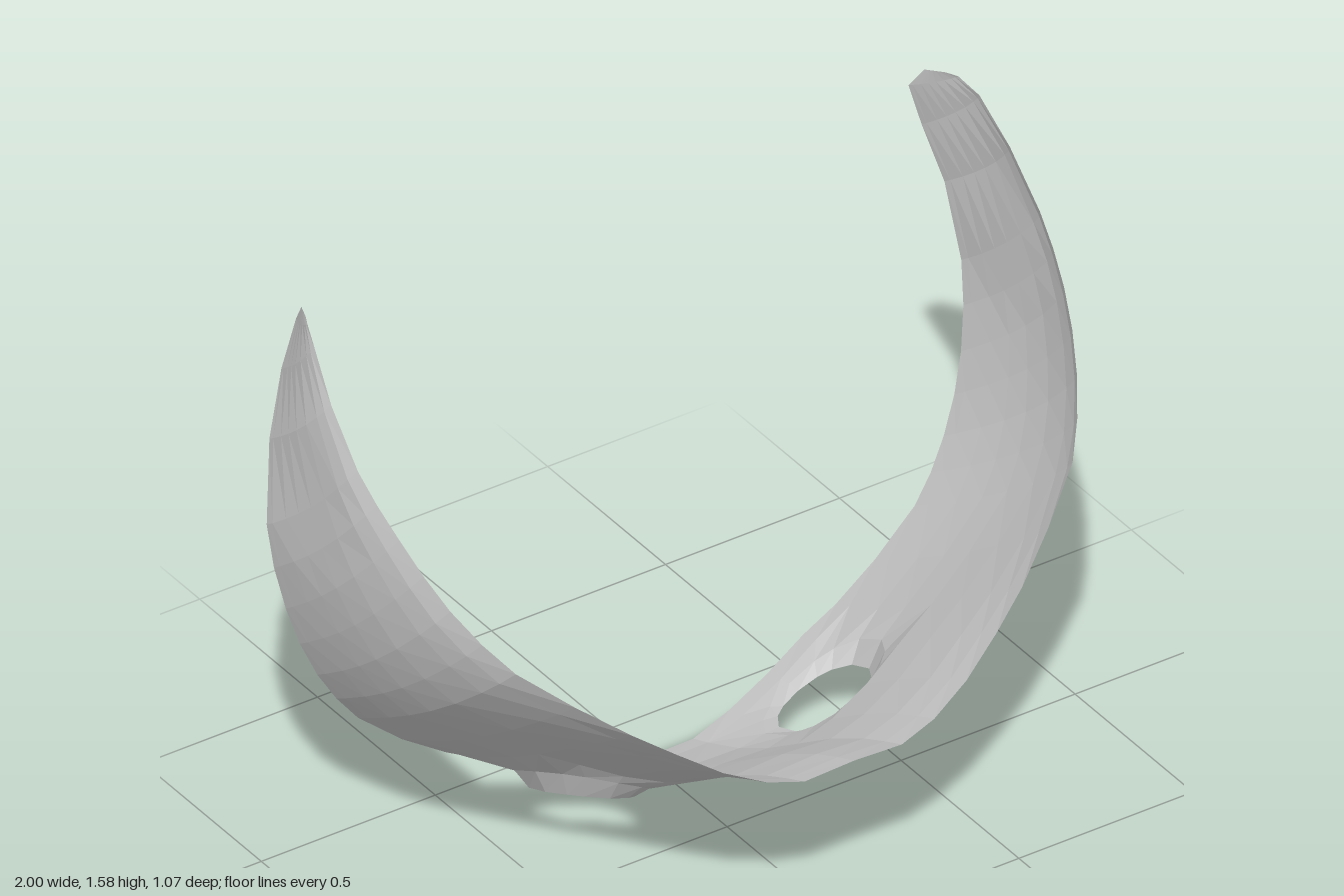
import * as THREE from 'three';

// Front and back edges from the nose to the temple tip, in matching stations
const curve = points => new THREE.CatmullRomCurve3(points.map(p => new THREE.Vector3(...p)));
const frontEdge = curve([
  [0, 0.495, 0.54], [0.14, 0.485, 0.535], [0.24, 0.515, 0.525], [0.35, 0.57, 0.5],
  [0.46, 0.645, 0.465], [0.56, 0.715, 0.425], [0.68, 0.805, 0.36], [0.8, 0.905, 0.285],
  [0.9, 1.05, 0.155], [0.955, 1.2, 0.02], [0.98, 1.33, -0.12], [0.975, 1.45, -0.24],
  [0.955, 1.55, -0.34], [0.935, 1.578, -0.4], [0.92, 1.578, -0.43],
]);
const backEdge = curve([
  [0, 0, -0.35], [0.14, 0.003, -0.35], [0.24, 0.05, -0.345], [0.35, 0.11, -0.348],
  [0.46, 0.172, -0.36], [0.56, 0.222, -0.365], [0.68, 0.3, -0.375], [0.8, 0.402, -0.385],
  [0.9, 0.55, -0.41], [0.97, 0.75, -0.44], [0.998, 0.98, -0.48], [0.97, 1.2, -0.51],
  [0.92, 1.37, -0.533], [0.88, 1.5, -0.53], [0.895, 1.565, -0.485],
]);
const last = 14;
const columns = [0, 1, 2, 3, 4, 5, 6, 7, 7.5, 8, 8.5, 9, 9.5, 10, 11, 12, 13, last];
const rows = [0, 0.08, 0.18, 0.34, 0.5, 0.64, 0.78, 0.93, 1];

// Grid block replaced by the eye opening
const eye = { u0: 1, u1: 5, v0: 4, v1: 7, u: 3, v: 0.706, ru: 1.1, rv: 0.14 };

// Point on the band: S-curved at the nose, sides bulging outward behind the front edge
function surface(u, v) {
  const p = frontEdge.getPoint(u / last).lerp(backEdge.getPoint(u / last), v);
  const fade = Math.min(1, (last - u) / 6);
  const side = fade * THREE.MathUtils.smoothstep(u, 4, 8);
  const nose = 1 - THREE.MathUtils.smoothstep(u, 2, 7);
  const curl = Math.sin(Math.PI * v ** 0.7);
  p.y += 0.02 * nose * Math.sin(2 * Math.PI * v) - 0.1 * v * (1 - v) * fade * Math.min(1, u / 4);
  p.x += 0.036 * side * curl;
  p.z += 0.018 * side * curl;
  p.x = Math.min(p.x, 1);
  return p;
}

function halfGeometry(side) {
  const positions = [];
  const tri = (a, b, c) => {
    for (const p of side > 0 ? [a, b, c] : [a, c, b]) positions.push(side * p.x, p.y, p.z);
  };
  const quad = (a, b, c, d) => { tri(a, b, c); tri(a, c, d); };

  // Band panels around the opening
  for (let i = 0; i < columns.length - 1; i++) {
    for (let j = 0; j < rows.length - 1; j++) {
      if (i >= eye.u0 && i < eye.u1 && j >= eye.v0 && j < eye.v1) continue;
      const [u, w] = [columns[i], columns[i + 1]];
      quad(surface(u, rows[j]), surface(u, rows[j + 1]), surface(w, rows[j + 1]), surface(w, rows[j]));
    }
  }

  // Outline of the block, walked once around
  const border = [];
  for (let i = eye.u0; i < eye.u1; i++) border.push([i, rows[eye.v0]]);
  for (let j = eye.v0; j < eye.v1; j++) border.push([eye.u1, rows[j]]);
  for (let i = eye.u1; i > eye.u0; i--) border.push([i, rows[eye.v1]]);
  for (let j = eye.v1; j > eye.v0; j--) border.push([eye.u0, rows[j]]);

  // Rings closing in on the eye hole; the rim drops most at its outer front corner
  const ring = (scale, drop) => border.map(([u, v]) => {
    const a = Math.atan2((v - eye.v) / 0.215, (u - eye.u) / 2);
    const p = surface(eye.u + eye.ru * scale * Math.cos(a), eye.v + eye.rv * scale * Math.sin(a));
    p.y -= drop * (0.04 + 0.026 * Math.cos(a) - 0.018 * Math.sin(a));
    return p;
  });
  const rings = [border.map(([u, v]) => surface(u, v)), ring(1.3, 0.3), ring(1, 1)];
  for (let r = 0; r < 2; r++) {
    border.forEach((_, k) => {
      const n = (k + 1) % border.length;
      quad(rings[r][k], rings[r + 1][k], rings[r + 1][n], rings[r][n]);
    });
  }

  // Unshared corners give faceted shading
  const geometry = new THREE.BufferGeometry();
  geometry.setAttribute('position', new THREE.Float32BufferAttribute(positions, 3));
  geometry.computeVertexNormals();
  return geometry;
}

export function createModel() {
  const model = new THREE.Group();
  model.name = 'eyeMask';
  const grey = new THREE.MeshStandardMaterial({ color: 0xcccccc, side: THREE.DoubleSide });
  grey.name = 'light grey';
  for (const [name, side] of [['leftMaskHalf', 1], ['rightMaskHalf', -1]]) {
    const mesh = new THREE.Mesh(halfGeometry(side), grey);
    mesh.name = name;
    model.add(mesh);
  }
  return model;
}
